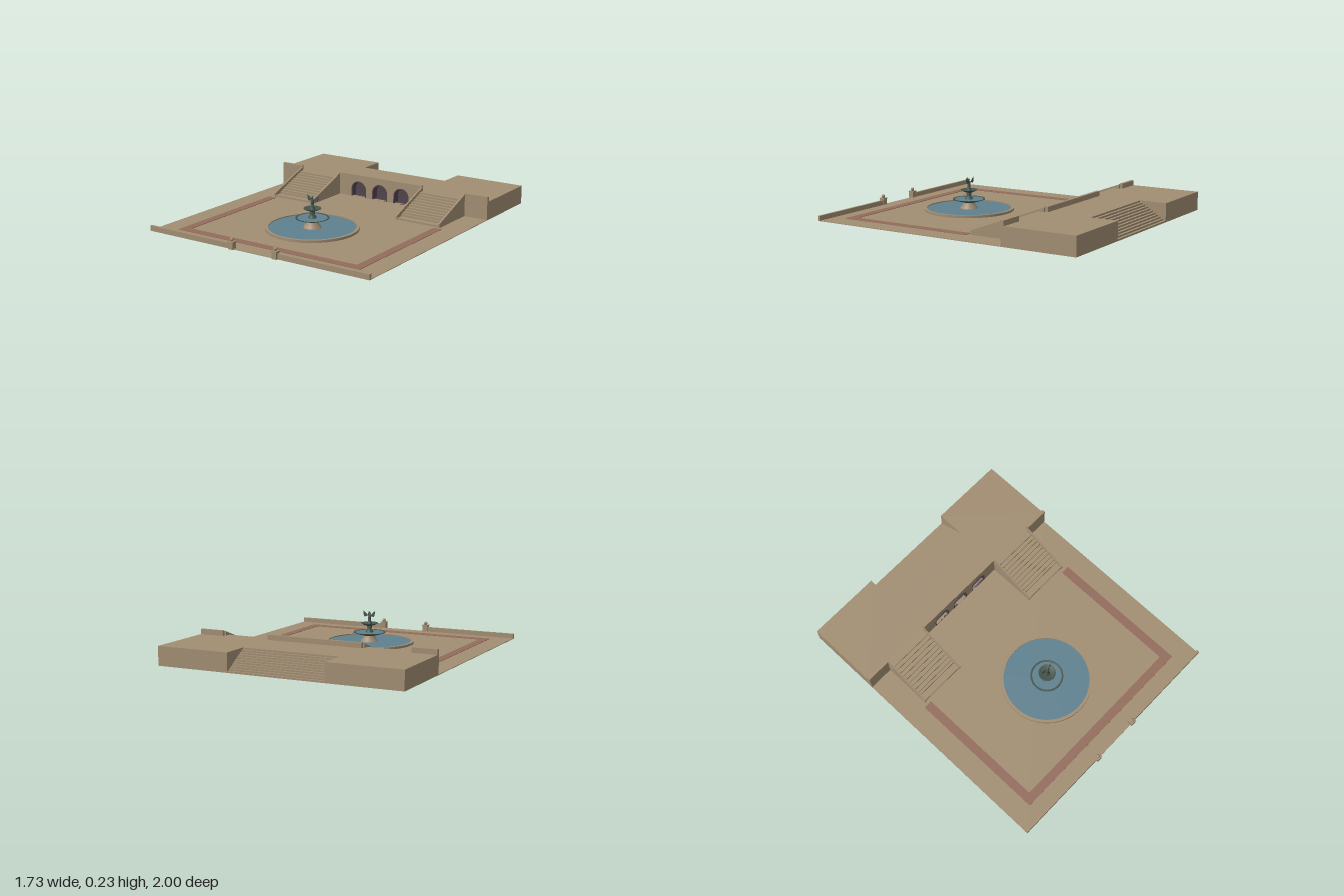
import * as THREE from 'three';

const mat = (name, color, side = THREE.FrontSide) => {
  const m = new THREE.MeshStandardMaterial({ color, side });
  m.name = name;
  return m;
};

export function createModel() {
  const root = new THREE.Group();
  root.name = 'fountainPlaza';
  const stone = mat('stone', 0xa18d72, THREE.DoubleSide);
  const water = mat('water', 0x5f8190);
  const brick = mat('redPaving', 0x936c5c);
  const bronze = mat('bronze', 0x46564d, THREE.DoubleSide);
  const dark = mat('darkArch', 0x51444a, THREE.DoubleSide);

  const add = (name, geo, material, x = 0, y = 0, z = 0, parent = root) => {
    const m = new THREE.Mesh(geo, material);
    m.name = name;
    m.position.set(x, y, z);
    parent.add(m);
    return m;
  };
  // box given by its limits on each axis
  const box = (name, material, x0, x1, y0, y1, z0, z1) =>
    add(name, new THREE.BoxGeometry(x1 - x0, y1 - y0, z1 - z0), material,
      (x0 + x1) / 2, (y0 + y1) / 2, (z0 + z1) / 2);
  const shapeOf = pts => new THREE.Shape(pts.map(p => new THREE.Vector2(...p)));
  const extrude = (shape, depth) =>
    new THREE.ExtrudeGeometry(shape, { depth, bevelEnabled: false, curveSegments: 16 });
  // profile of [z, y] points, extruded from x0 to x1
  const sideProfile = (name, pts, x0, x1) =>
    add(name, extrude(shapeOf(pts.map(([z, y]) => [-z, y])), x1 - x0).rotateY(Math.PI / 2), stone, x0);

  const W = 0.865, IN = 0.345, OUT = 0.692, DECK = 0.13, WALL = 0.165;

  // Plaza floor and red paving border
  box('plazaFloor', stone, -W, W, 0, 0.004, -0.48, 0.985);
  box('frontPaving', brick, -0.72, 0.72, 0.004, 0.007, 0.81, 0.87);
  for (const s of [-1, 1]) {
    const c = s * 0.69;
    box('sidePaving', brick, c - 0.03, c + 0.03, 0.004, 0.007, -0.11, 0.81);
  }

  // Front wall with gate posts
  for (const s of [-1, 1]) {
    const a = s * W, b = s * 0.19;
    box('frontWall', stone, Math.min(a, b), Math.max(a, b), 0, 0.036, 0.967, 0.985);
    const x = s * 0.172;
    box('gatePost', stone, x - 0.018, x + 0.018, 0, 0.046, 0.962, 0.998);
    box('gatePostCap', stone, x - 0.021, x + 0.021, 0.046, 0.052, 0.959, 1);
    add('gatePostBall', new THREE.SphereGeometry(0.013, 12, 8), stone, x, 0.064, 0.98);
  }

  // Terrace deck with the stair notch
  const deck = shapeOf([[-W, 0.48], [W, 0.48], [W, 1], [IN, 1], [IN, 0.79], [-IN, 0.79], [-IN, 1], [-W, 1]]);
  add('terraceDeck', extrude(deck, 0.006).rotateX(-Math.PI / 2), stone, 0, DECK - 0.006, 0);
  for (const s of [-1, 1]) {
    const a = s * W, b = s * IN;
    box('terraceBackWall', stone, Math.min(a, b), Math.max(a, b), 0, DECK - 0.006, -1, -0.994);
    box('terraceSideWall', stone, a - (s > 0 ? 0.006 : 0), a + (s > 0 ? 0 : 0.006), 0, DECK - 0.006, -0.994, -0.495);
    box('notchWall', stone, b - (s > 0 ? 0 : 0.006), b + (s > 0 ? 0.006 : 0), 0, DECK - 0.006, -0.994, -0.79);
  }

  // Retaining wall with raised parapets and three arched openings
  const archPath = (P, x, r) => {
    const p = new P();
    p.moveTo(x - r, 0.005);
    p.lineTo(x + r, 0.005);
    p.lineTo(x + r, 0.055);
    p.absarc(x, 0.055, r, 0, Math.PI, false);
    p.closePath();
    return p;
  };
  const wall = shapeOf([[-W, 0], [W, 0], [W, WALL], [OUT, WALL], [OUT, DECK], [IN, DECK], [IN, WALL],
    [-IN, WALL], [-IN, DECK], [-OUT, DECK], [-OUT, WALL], [-W, WALL]]);
  const archX = [-0.18, 0, 0.18];
  for (const x of archX) wall.holes.push(archPath(THREE.Path, x, 0.064));
  add('retainingWall', extrude(wall, 0.022), stone, 0, 0, -0.497);
  for (const x of archX) {
    const ring = archPath(THREE.Shape, 0, 0.064);
    ring.holes.push(archPath(THREE.Path, 0, 0.056));
    add('archLining', extrude(ring, 0.05), dark, x, 0, -0.524);
    add('archBack', new THREE.ShapeGeometry(archPath(THREE.Shape, 0, 0.064), 16), dark, x, 0, -0.524);
  }

  // Rear stairs, a thin folded shell rising from the back edge
  const n = 11, top = [];
  for (let i = 0; i < n; i++) {
    const z = -1 + i * 0.21 / n;
    top.push([z, i * DECK / n], [z, (i + 1) * DECK / n]);
  }
  top.push([-0.785, DECK]);
  const under = top.map(([z, y]) => [z + 0.004, Math.max(0, y - 0.004)]).reverse();
  sideProfile('rearStairs', [...top, ...under], -IN, IN);

  // Two front stairs with sloping side walls
  for (const s of [-1, 1]) {
    const x0 = s > 0 ? IN : -OUT, x1 = x0 + OUT - IN;
    const steps = [[-0.14, 0.004], [-0.14, 0.017], [-0.19, 0.017], [-0.19, 0.03]];
    for (let i = 0; i < 9; i++) {
      const z = -0.21 - i * 0.0278;
      steps.push([z, 0.03 + i * 0.1 / 9], [z, 0.03 + (i + 1) * 0.1 / 9]);
    }
    steps.push([-0.476, DECK], [-0.476, 0.004]);
    sideProfile('frontStairs', steps, x0 + 0.01, x1 - 0.01);
    const cheek = [[-0.135, 0.004], [-0.135, 0.032], [-0.476, 0.16], [-0.476, 0.004]];
    sideProfile('stairSideWall', cheek, x0, x0 + 0.012);
    sideProfile('stairSideWall', cheek, x1 - 0.012, x1);
  }

  // Fountain
  const fountain = new THREE.Group();
  fountain.name = 'fountain';
  fountain.position.z = 0.352;
  root.add(fountain);
  const lathe = (name, pts, material, seg = 40) =>
    add(name, new THREE.LatheGeometry(pts.map(p => new THREE.Vector2(...p)), seg), material, 0, 0, 0, fountain);
  const disc = (name, r, y) =>
    add(name, new THREE.CylinderGeometry(r, r, 0.002, 48), water, 0, y, 0, fountain);

  // basin rim built with hard edges
  const rim = new THREE.Shape().absarc(0, 0, 0.315, 0, Math.PI * 2);
  rim.holes.push(new THREE.Path().absarc(0, 0, 0.295, 0, Math.PI * 2));
  add('basinRim', new THREE.ExtrudeGeometry(rim, { depth: 0.017, bevelEnabled: false, curveSegments: 32 })
    .rotateX(-Math.PI / 2), stone, 0, 0.004, 0, fountain);
  disc('basinWater', 0.296, 0.013);
  lathe('pedestal', [[0.062, 0.012], [0.058, 0.022], [0.043, 0.04], [0.036, 0.06]], stone);
  lathe('lowerBowl', [[0, 0.056], [0.045, 0.058], [0.08, 0.068], [0.113, 0.079], [0.113, 0.083],
    [0.105, 0.081], [0.07, 0.074], [0, 0.072]], bronze);
  disc('lowerBowlWater', 0.104, 0.079);
  lathe('stem', [[0.03, 0.078], [0.026, 0.09], [0.014, 0.1], [0.018, 0.115], [0.013, 0.13]], bronze, 20);
  lathe('upperBowl', [[0, 0.124], [0.02, 0.126], [0.045, 0.136], [0.059, 0.143], [0.059, 0.147],
    [0.052, 0.144], [0.03, 0.138], [0, 0.136]], bronze);

  // Winged figure on top
  lathe('figureBody', [[0.02, 0.136], [0.017, 0.15], [0.009, 0.162], [0.012, 0.178], [0.009, 0.19],
    [0.012, 0.2], [0.005, 0.208], [0, 0.209]], bronze, 16);
  add('figureHead', new THREE.SphereGeometry(0.008, 12, 8), bronze, 0, 0.215, 0.002, fountain);
  const arm = new THREE.CatmullRomCurve3([[0.008, 0.198, 0], [0.012, 0.21, 0.008], [0.006, 0.23, 0.008]]
    .map(p => new THREE.Vector3(...p)));
  add('raisedArm', new THREE.TubeGeometry(arm, 8, 0.003, 6), bronze, 0, 0, 0, fountain);
  for (const s of [-1, 1]) {
    const wing = shapeOf([[s * 0.006, 0.2], [s * 0.045, 0.233], [s * 0.043, 0.21], [s * 0.036, 0.19], [s * 0.02, 0.195]]);
    add('wing', extrude(wing, 0.004), bronze, 0, 0, -0.01, fountain);
  }
  return root;
}
